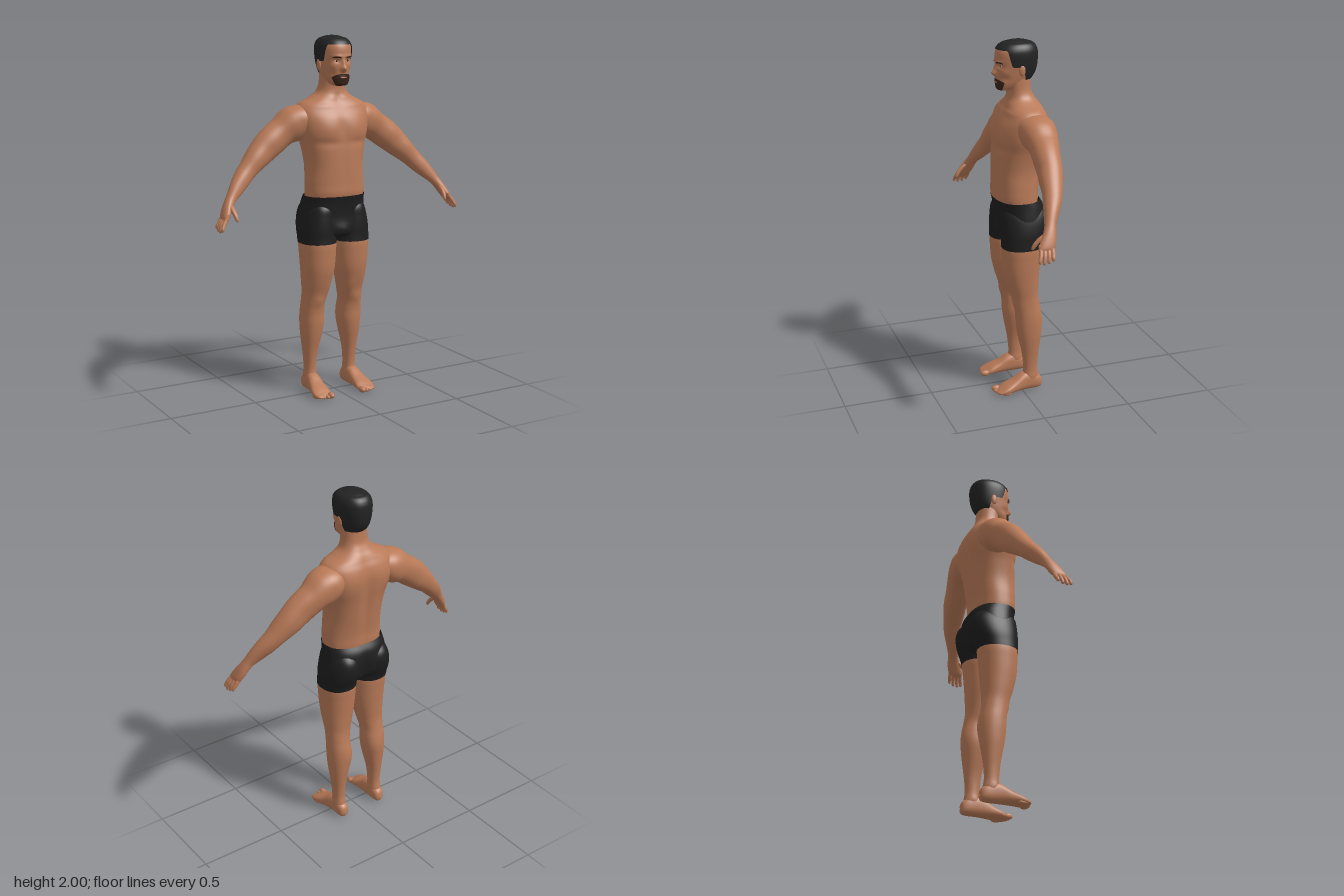
import * as THREE from 'three';

const { smoothstep } = THREE.MathUtils;
const X = 0, Y = 1, Z = 2;
const mat = (name, color, side = THREE.FrontSide) => Object.assign(new THREE.MeshStandardMaterial({ color, side }), { name });

// Smoothly interpolated row of a cross-section list: [x, y, z, halfWidth, halfDepth]
function rowAt(rows, t) {
  const n = rows.length, i = Math.min(Math.max(Math.floor(t), 0), n - 2), f = t - i;
  const [p, q, r, s] = [i - 1, i, i + 1, i + 2].map(k => rows[Math.min(Math.max(k, 0), n - 1)]);
  return q.map((v, k) => v + 0.5 * f * (r[k] - p[k] + f * (2 * p[k] - 5 * v + 4 * r[k] - s[k] + f * (3 * (v - r[k]) + s[k] - p[k]))));
}

// Lofted surface. Bumps are [x, y, z, rx, ry, rz, amount], pushing the skin in or out on both sides.
// from/to trim the rows by angle, and arc keeps only a range of angles (PI/2 is the front).
function loft(rows, { segs = 32, steps = 5, n = 2.2, depthAxis = [0, 0, 1], bumps = [], grow = 0,
  from = () => 0, to = () => rows.length - 1, arc = null } = {}) {
  const rings = (rows.length - 1) * steps, cols = arc ? segs + 1 : segs;
  const [a0, a1] = arc || [0, Math.PI * 2];
  const V = new THREE.Vector3(...depthAxis), pos = [], index = [];
  const centre = new THREE.Vector3(), T = new THREE.Vector3(), U = new THREE.Vector3(), d = new THREE.Vector3();
  for (let i = 0; i <= rings; i++) {
    for (let j = 0; j < cols; j++) {
      const ang = a0 + (a1 - a0) * j / segs, start = from(ang);
      const t = start + (to(ang) - start) * i / rings;
      const row = rowAt(rows, t);
      const lo = rowAt(rows, Math.max(t - 0.05, 0)), hi = rowAt(rows, Math.min(t + 0.05, rows.length - 1));
      centre.set(row[X], row[Y], row[Z]);
      T.set(hi[X] - lo[X], hi[Y] - lo[Y], hi[Z] - lo[Z]);
      U.crossVectors(T, V).normalize();
      const c = Math.cos(ang), s = Math.sin(ang);
      const round = v => Math.sign(v) * Math.pow(Math.abs(v), 2 / n);
      d.set(0, 0, 0)
        .addScaledVector(U, round(c) * (Math.max(row[3], 0.0005) + grow))
        .addScaledVector(V, round(s) * (Math.max(row[4], 0.0005) + grow));
      const p = centre.clone().add(d);
      let push = 0;
      for (const [bx, by, bz, rx, ry, rz, amount] of bumps) {
        const e = ((Math.abs(p.x) - bx) / rx) ** 2 + ((p.y - by) / ry) ** 2 + ((p.z - bz) / rz) ** 2;
        push += amount * Math.exp(-e);
      }
      p.addScaledVector(d.normalize(), push);
      pos.push(p.x, p.y, p.z);
    }
  }
  for (let i = 0; i < rings; i++) {
    for (let j = 0; j < segs; j++) {
      const k = (j + 1) % cols, a = i * cols + j, b = i * cols + k;
      index.push(a, a + cols, b + cols, a, b + cols, b);
    }
  }
  const g = new THREE.BufferGeometry();
  g.setAttribute('position', new THREE.Float32BufferAttribute(pos, 3));
  g.setIndex(index);
  g.computeVertexNormals();
  return g;
}

function ellipsoid(x, y, z, rx, ry, rz) {
  return new THREE.SphereGeometry(1, 20, 14).scale(rx, ry, rz).translate(x, y, z);
}

// Copy reflected in x, with its faces turned back outwards
function mirrored(geo) {
  const g = geo.clone().scale(-1, 1, 1);
  g.index.array.reverse();
  g.computeVertexNormals();
  return g;
}

export function createModel() {
  const model = new THREE.Group();
  model.name = 'standingMan';
  const skin = mat('skin', 0xb97a58), cloth = mat('shortsBlack', 0x1e1e1e, THREE.DoubleSide);
  const hairMat = mat('hairBlack', 0x232323, THREE.DoubleSide), beardMat = mat('beardBrown', 0x3a251b, THREE.DoubleSide);
  const eyeMat = mat('eyeWhite', 0xb9a595), irisMat = mat('irisDark', 0x2a1b14);
  const add = (name, geo, material) => {
    const m = new THREE.Mesh(geo, material);
    m.name = name;
    model.add(m);
  };
  const pair = (name, geo, material) => {
    add(name + 'Left', geo, material);
    add(name + 'Right', mirrored(geo), material);
  };

  // Torso and neck
  add('torso', loft([
    [0, 1.05, -0.015, 0.16, 0.095], [0, 1.13, 0, 0.169, 0.118], [0, 1.2, 0, 0.168, 0.121],
    [0, 1.3, -0.008, 0.164, 0.129], [0, 1.4, -0.017, 0.18, 0.135], [0, 1.48, -0.024, 0.203, 0.139],
    [0, 1.55, -0.031, 0.213, 0.136], [0, 1.6, -0.038, 0.212, 0.12], [0, 1.635, -0.04, 0.185, 0.102],
    [0, 1.662, -0.038, 0.13, 0.09], [0, 1.69, -0.034, 0.09, 0.075], [0, 1.73, -0.026, 0.073, 0.064],
    [0, 1.8, -0.018, 0.068, 0.066],
  ], {
    segs: 80, steps: 7, n: 2.35, bumps: [
      [0.09, 1.5, 0.11, 0.075, 0.055, 0.06, 0.009], [0, 1.5, 0.12, 0.018, 0.08, 0.06, -0.007],
      [0.1, 1.425, 0.11, 0.08, 0.02, 0.06, -0.006], [0, 1.28, 0.12, 0.015, 0.11, 0.05, -0.004],
      [0, 1.4, -0.15, 0.03, 0.24, 0.08, -0.014], [0.12, 1.52, -0.15, 0.07, 0.08, 0.06, 0.011],
      [0.1, 1.625, 0.05, 0.07, 0.014, 0.05, 0.005], [0, 1.66, 0.05, 0.02, 0.025, 0.04, -0.007],
    ],
  }), skin);

  // Shorts: a pelvis with two short leg tubes
  add('shortsPelvis', loft([
    [0, 0.878, -0.01, 0.02, 0.02], [0, 0.89, -0.01, 0.12, 0.07], [0, 0.91, -0.012, 0.18, 0.105],
    [0, 0.95, -0.022, 0.198, 0.125], [0, 1.02, -0.027, 0.191, 0.13], [0, 1.09, -0.019, 0.18, 0.129],
    [0, 1.13, -0.003, 0.175, 0.122],
  ], { segs: 64, n: 2.4, bumps: [
    [0, 0.97, -0.15, 0.025, 0.08, 0.06, -0.022], [0, 0.94, 0.1, 0.035, 0.035, 0.05, 0.012],
  ] }), cloth);
  pair('shortsLeg', loft([
    [0.104, 0.867, -0.007, 0.103, 0.114], [0.104, 0.9, -0.012, 0.102, 0.118], [0.104, 0.95, -0.022, 0.1, 0.129],
    [0.101, 1.01, -0.029, 0.092, 0.134], [0.095, 1.06, -0.026, 0.08, 0.125], [0.09, 1.1, -0.02, 0.06, 0.09],
  ], { segs: 48 }), cloth);

  // Legs
  pair('leg', loft([
    [0.128, 0.03, -0.06, 0.03, 0.045], [0.128, 0.08, -0.054, 0.034, 0.046], [0.128, 0.13, -0.052, 0.033, 0.04],
    [0.128, 0.19, -0.051, 0.036, 0.044], [0.127, 0.25, -0.05, 0.044, 0.052], [0.123, 0.33, -0.047, 0.058, 0.066],
    [0.119, 0.4, -0.045, 0.066, 0.074], [0.119, 0.46, -0.042, 0.066, 0.074], [0.118, 0.52, -0.032, 0.064, 0.073],
    [0.112, 0.58, -0.021, 0.071, 0.076], [0.108, 0.65, -0.011, 0.082, 0.089], [0.104, 0.72, -0.005, 0.092, 0.1],
    [0.103, 0.8, -0.005, 0.098, 0.107], [0.103, 0.87, -0.007, 0.1, 0.111], [0.1, 0.95, -0.01, 0.09, 0.1],
  ], { segs: 44, bumps: [
    [0.118, 0.535, 0.045, 0.028, 0.03, 0.04, 0.006], [0.09, 0.42, -0.1, 0.035, 0.06, 0.05, 0.005],
    [0.075, 0.61, 0.03, 0.03, 0.04, 0.05, 0.005], [0.128, 0.085, -0.05, 0.06, 0.018, 0.02, 0.004],
  ] }), skin);

  // Feet and toes
  pair('foot', loft([
    [0.128, 0.035, -0.121, 0.004, 0.006], [0.128, 0.039, -0.112, 0.024, 0.031], [0.128, 0.047, -0.085, 0.034, 0.045],
    [0.128, 0.056, -0.04, 0.037, 0.054], [0.13, 0.053, 0, 0.04, 0.051], [0.135, 0.038, 0.05, 0.046, 0.036],
    [0.139, 0.026, 0.1, 0.054, 0.024], [0.139, 0.018, 0.128, 0.05, 0.016], [0.137, 0.015, 0.145, 0.038, 0.009],
    [0.135, 0.014, 0.15, 0.004, 0.002],
  ], { segs: 36, n: 2.5, depthAxis: [0, 1, 0] }), skin);
  [[0.101, 0.172, 0.0175], [0.125, 0.168, 0.0125], [0.145, 0.159, 0.012], [0.163, 0.147, 0.0115], [0.179, 0.132, 0.011]]
    .forEach(([x, tip, r], i) => pair('toe' + (i + 1), ellipsoid(x, r, tip - 0.028, r, r, 0.028), skin));

  // Arms running into the palms
  pair('arm', loft([
    [0.1, 1.565, -0.05, 0.04, 0.07], [0.17, 1.548, -0.055, 0.083, 0.1], [0.23, 1.52, -0.06, 0.096, 0.096],
    [0.29, 1.487, -0.062, 0.082, 0.082], [0.37, 1.43, -0.052, 0.08, 0.07], [0.44, 1.37, -0.044, 0.069, 0.065],
    [0.51, 1.305, -0.027, 0.053, 0.055], [0.56, 1.255, -0.008, 0.048, 0.049], [0.6, 1.213, 0.012, 0.041, 0.04],
    [0.64, 1.168, 0.033, 0.029, 0.032], [0.665, 1.135, 0.047, 0.025, 0.036], [0.686, 1.1, 0.062, 0.022, 0.043],
    [0.703, 1.068, 0.076, 0.017, 0.043], [0.712, 1.05, 0.08, 0.004, 0.03],
  ], { segs: 44, bumps: [
    [0.27, 1.53, 0, 0.05, 0.06, 0.06, 0.006], [0.37, 1.44, 0.02, 0.045, 0.05, 0.05, 0.005],
    [0.33, 1.535, -0.06, 0.02, 0.03, 0.06, -0.005], [0.47, 1.36, 0.02, 0.05, 0.05, 0.05, 0.005],
  ] }), skin);

  // Fingers and thumb
  [[0.045, 0.05, 0.8], [0.066, 0.075, 0.95], [0.087, 0.1, 1], [0.107, 0.123, 0.9]].forEach(([z0, z1, len], i) => {
    const tipY = 1.068 - 0.07 * len, x = 0.738 - (1 - len) * 0.02;
    pair('finger' + (i + 1), loft([
      [0.69, 1.09, z0, 0.008, 0.009], [0.706, 1.066, z0, 0.011, 0.0115], [x - 0.011, 1.04, (z0 + z1) / 2, 0.0105, 0.011],
      [x - 0.002, tipY + 0.017, z1, 0.009, 0.0095], [x, tipY + 0.005, z1, 0.007, 0.007], [x, tipY, z1, 0.001, 0.001],
    ], { segs: 14, steps: 4 }), skin);
  });
  pair('thumb', loft([
    [0.662, 1.14, 0.06, 0.01, 0.012], [0.663, 1.12, 0.085, 0.014, 0.018], [0.66, 1.095, 0.112, 0.012, 0.015],
    [0.657, 1.075, 0.126, 0.01, 0.012], [0.655, 1.06, 0.133, 0.007, 0.008], [0.654, 1.054, 0.135, 0.001, 0.001],
  ], { segs: 14, steps: 4 }), skin);

  // Head with nose, brows, sockets, cheeks and lips shaped in
  const skull = [
    [0, 1.73, 0.05, 0.015, 0.02], [0, 1.737, 0.05, 0.042, 0.043], [0, 1.765, 0.025, 0.061, 0.076],
    [0, 1.8, 0.005, 0.072, 0.098], [0, 1.84, -0.005, 0.079, 0.109], [0, 1.88, -0.008, 0.085, 0.113],
    [0, 1.92, -0.009, 0.088, 0.114], [0, 1.95, -0.011, 0.085, 0.108], [0, 1.975, -0.014, 0.072, 0.091],
    [0, 1.988, -0.016, 0.051, 0.064], [0, 1.995, -0.018, 0.001, 0.001],
  ];
  const face = [
    [0, 1.824, 0.11, 0.015, 0.015, 0.05, 0.022], [0, 1.85, 0.11, 0.011, 0.025, 0.05, 0.012],
    [0.034, 1.867, 0.1, 0.018, 0.012, 0.04, -0.01], [0.03, 1.89, 0.1, 0.03, 0.009, 0.04, 0.005],
    [0.055, 1.835, 0.08, 0.02, 0.02, 0.04, 0.004], [0.055, 1.8, 0.07, 0.02, 0.018, 0.03, -0.004],
    [0, 1.777, 0.1, 0.025, 0.01, 0.04, 0.003],
  ];
  const headShape = { segs: 112, steps: 8, n: 2.2, bumps: face };
  const front = Math.PI / 2;
  add('head', loft(skull, headShape), skin);

  // Short hair, its hairline low at the nape and high on the forehead
  add('hair', loft(skull, {
    ...headShape, bumps: [], grow: 0.006,
    from: a => 2.5 + 2.1 * smoothstep(Math.sin(a), -0.6, 0.1) + 2.5 * smoothstep(Math.sin(a), 0.3, 0.65),
  }), hairMat);
  add('crown', ellipsoid(0, 1.965, -0.017, 0.076, 0.035, 0.094), hairMat);

  // Goatee, lips and eyebrows
  add('goatee', loft(skull, {
    ...headShape, segs: 40, steps: 3, grow: 0.004, arc: [front - 0.9, front + 0.9],
    from: () => 0.1, to: a => 2.92 - 0.5 * ((a - front) / 0.9) ** 2,
  }), beardMat);
  add('lips', ellipsoid(0, 1.777, 0.102, 0.022, 0.005, 0.01), skin);
  pair('eyebrow', loft(skull, {
    ...headShape, segs: 12, steps: 1, grow: 0.002, arc: [front - 0.68, front - 0.14],
    from: a => 5.05 - 0.5 * (front - a - 0.45) ** 2, to: a => 5.24 - (front - a - 0.4) ** 2,
  }), beardMat);

  // Eyes and ears
  pair('eye', ellipsoid(0.034, 1.866, 0.08, 0.013, 0.0055, 0.011), eyeMat);
  pair('iris', ellipsoid(0.034, 1.866, 0.088, 0.005, 0.005, 0.0045), irisMat);
  pair('ear', ellipsoid(0.085, 1.845, -0.016, 0.01, 0.032, 0.018).rotateX(0), skin);
  return model;
}
